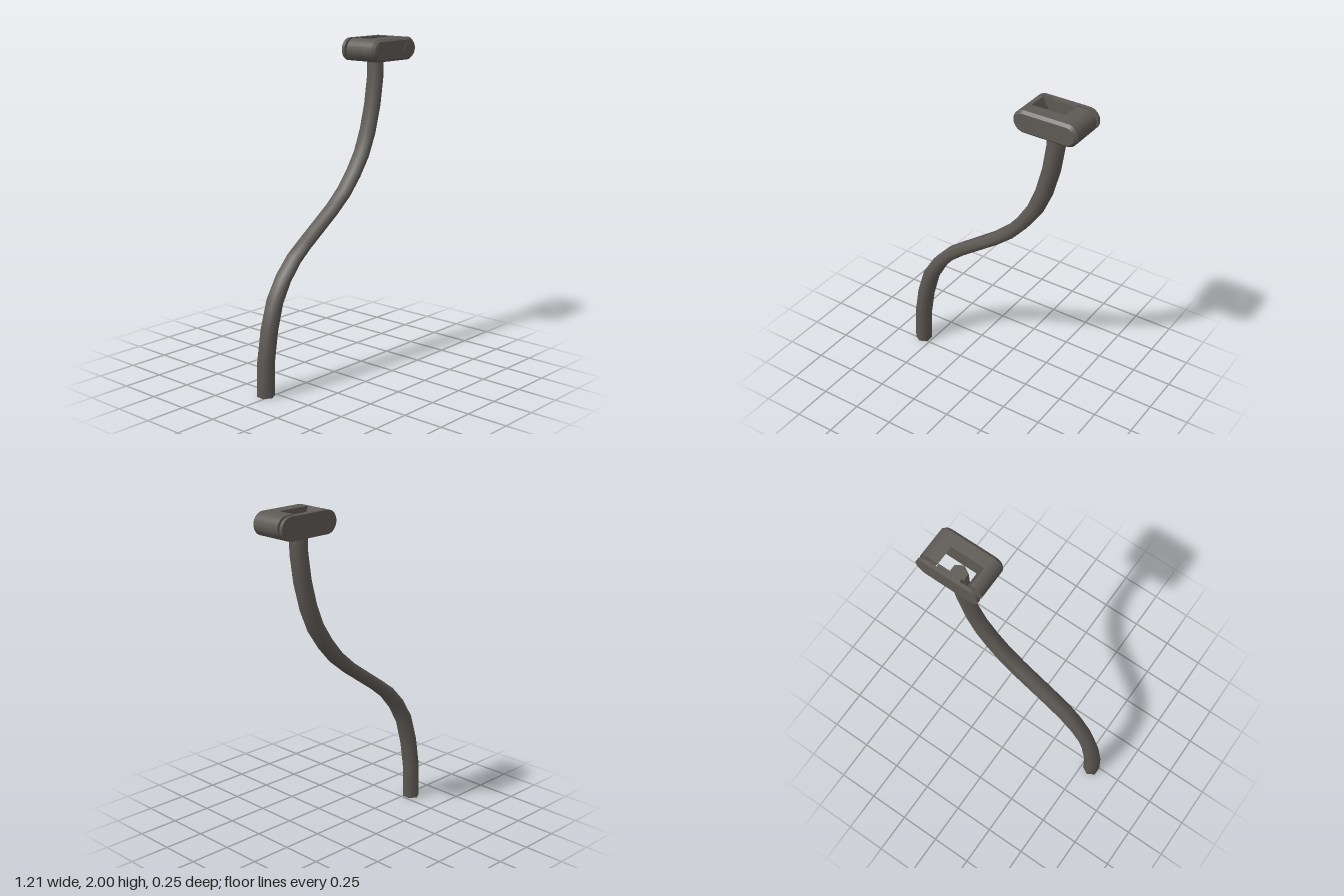
import * as THREE from 'three';
import { toCreasedNormals } from 'three/addons/utils/BufferGeometryUtils.js';

const CX = 0.405, CY = 1.9325, R = 0.0675, HALF = 0.2; // clamp centre, end radius, half length

// Outline of a pill, or of one rounded end cut off at x = cut on the given side
function pillShape(inset = 0) {
  const s = new THREE.Shape(), h = HALF - R, r = R - inset;
  s.absarc(h, 0, r, -Math.PI / 2, Math.PI / 2, false);
  s.absarc(-h, 0, r, Math.PI / 2, Math.PI * 1.5, false);
  s.closePath();
  return s;
}

function endShape(side, cut) {
  const s = new THREE.Shape(), h = HALF - R;
  if (side > 0) {
    s.moveTo(cut, -R);
    s.absarc(h, 0, R, -Math.PI / 2, Math.PI / 2, false);
    s.lineTo(cut, R);
  } else {
    s.moveTo(cut, R);
    s.absarc(-h, 0, R, Math.PI / 2, Math.PI * 1.5, false);
    s.lineTo(cut, -R);
  }
  s.closePath();
  return s;
}

function extrude(shape, z0, z1) {
  const g = new THREE.ExtrudeGeometry(shape, { depth: z1 - z0, bevelEnabled: false, curveSegments: 12 });
  g.translate(CX, CY, z0);
  return toCreasedNormals(g, 0.6);
}

// Chamfered collar joining a full pill outline to a smaller one in front of it
function chamfer(z0, z1, inset) {
  const a = pillShape().getPoints(12), b = pillShape(inset).getPoints(12);
  const pos = [], idx = [], n = a.length;
  for (let i = 0; i < n; i++) {
    pos.push(a[i].x + CX, a[i].y + CY, z0, b[i].x + CX, b[i].y + CY, z1);
    const p = 2 * i, q = 2 * ((i + 1) % n);
    idx.push(p, q, p + 1, q, q + 1, p + 1);
  }
  const g = new THREE.BufferGeometry();
  g.setAttribute('position', new THREE.Float32BufferAttribute(pos, 3));
  g.setIndex(idx);
  return toCreasedNormals(g, 0.6);
}

// Six-sided bar swept along the S curve, slimmer where it leans
function barGeometry() {
  const path = [
    [-0.56, 0], [-0.555, 0.21], [-0.526, 0.39], [-0.479, 0.55], [-0.407, 0.672],
    [-0.32, 0.77], [-0.23, 0.84], [0.008, 1.008], [0.114, 1.098], [0.2, 1.198],
    [0.275, 1.31], [0.33, 1.44], [0.373, 1.6], [0.397, 1.76], [0.4, 1.88],
  ];
  const sides = 6, radius = 0.053, zc = -0.027, last = path.length - 1;
  const pos = [], idx = [];
  const ring = (k) => {
    const t = new THREE.Vector2(0, 1);
    if (k > 0 && k < last) t.set(path[k + 1][0] - path[k - 1][0], path[k + 1][1] - path[k - 1][1]).normalize();
    const w = radius * (0.4 + 0.6 * t.y);
    for (let i = 0; i < sides; i++) {
      const a = Math.PI / 6 + (i * Math.PI * 2) / sides, c = Math.cos(a) * w;
      pos.push(path[k][0] + t.y * c, path[k][1] - t.x * c, zc + Math.sin(a) * radius);
    }
  };
  for (let k = 0; k <= last; k++) {
    ring(k);
    if (k === last) break;
    for (let i = 0; i < sides; i++) {
      const p = k * sides + i, q = k * sides + ((i + 1) % sides);
      idx.push(p, p + sides, q, q, p + sides, q + sides);
    }
  }
  // End caps on their own vertices
  for (const k of [0, last]) {
    const base = pos.length / 3;
    ring(k);
    for (let i = 1; i < sides - 1; i++) {
      if (k === 0) idx.push(base, base + i, base + i + 1);
      else idx.push(base, base + i + 1, base + i);
    }
  }
  const g = new THREE.BufferGeometry();
  g.setAttribute('position', new THREE.Float32BufferAttribute(pos, 3));
  g.setIndex(idx);
  g.computeVertexNormals();
  return g;
}

export function createModel() {
  const model = new THREE.Group();
  model.name = 'curvedBarWithClamp';
  const metal = new THREE.MeshStandardMaterial({ color: 0x5e5a55 });
  metal.name = 'dark metal';

  const add = (parent, name, geometry) => {
    const m = new THREE.Mesh(geometry, metal);
    m.name = name;
    parent.add(m);
    return m;
  };

  add(model, 'curvedBar', barGeometry());

  const clamp = new THREE.Group();
  clamp.name = 'clamp';
  model.add(clamp);

  // Clamp block: front wall with chamfered face, and two jaws around the slot
  add(clamp, 'frontWall', extrude(pillShape(), 0.03, 0.105));
  add(clamp, 'frontChamfer', chamfer(0.105, 0.122, 0.015));
  const face = new THREE.ShapeGeometry(pillShape(0.015), 12);
  face.translate(CX, CY, 0.122);
  add(clamp, 'frontFace', face);
  add(clamp, 'leftJaw', extrude(endShape(1, 0.077), -0.087, 0.03));
  add(clamp, 'rightJaw', extrude(endShape(-1, -0.08), -0.087, 0.03));

  // Back plate with a tongue reaching into the slot
  add(clamp, 'backPlate', extrude(pillShape(), -0.125, -0.104));
  const tongue = new THREE.BoxGeometry(0.15, 2 * R - 0.002, 0.022);
  tongue.translate(CX, CY, -0.094);
  add(clamp, 'plateTongue', tongue);

  // Bolts: flush heads in front, shanks across the gap at the back
  for (const [side, name] of [[1, 'left'], [-1, 'right']]) {
    const x = CX + side * 0.131;
    const head = new THREE.CylinderGeometry(0.045, 0.045, 0.008, 24);
    head.rotateX(Math.PI / 2).translate(x, CY, 0.12);
    add(clamp, name + 'BoltHead', head);
    const shank = new THREE.CylinderGeometry(0.02, 0.02, 0.03, 16);
    shank.rotateX(Math.PI / 2).translate(x, CY, -0.095);
    add(clamp, name + 'BoltShank', shank);
  }
  return model;
}
